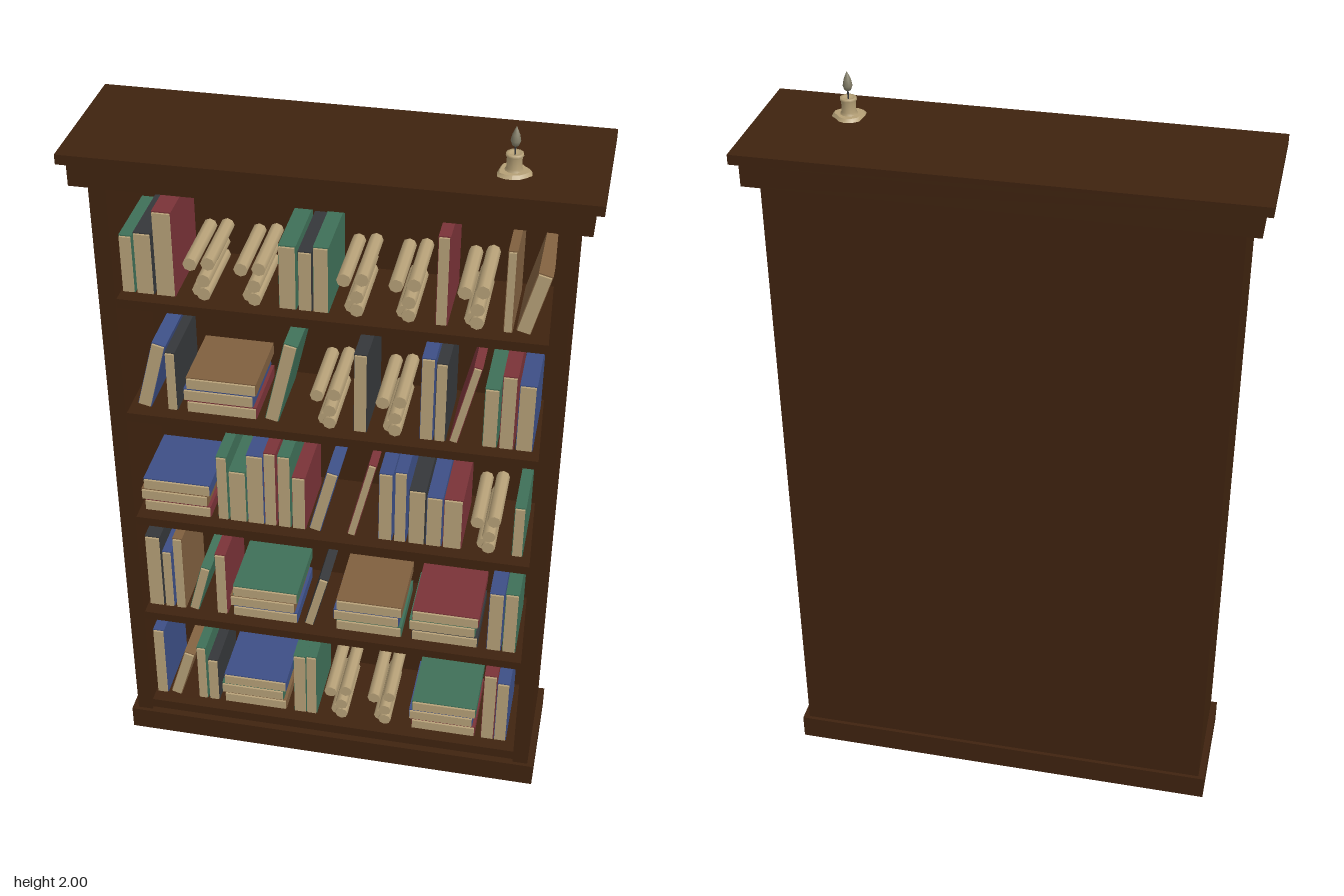
import * as THREE from 'three';

const mat = (name, color) => {
  const m = new THREE.MeshStandardMaterial({ color });
  m.name = name;
  return m;
};

export function createModel() {
  const root = new THREE.Group();
  root.name = 'bookcase';
  const wood = mat('dark wood', 0x3f230f);
  const paper = mat('paper', 0xb8a279);
  const red = mat('red cover', 0x7a3338);
  const blue = mat('blue cover', 0x3d4f86);
  const green = mat('green cover', 0x3f7058);
  const coal = mat('charcoal cover', 0x35373a);
  const tan = mat('tan cover', 0x80603f);
  const wax = mat('wax', 0xb5a076);
  const flameMat = mat('flame', 0x85806a);

  const add = (parent, name, geo, material, x = 0, y = 0, z = 0) => {
    const m = new THREE.Mesh(geo, material);
    m.name = name;
    m.position.set(x, y, z);
    parent.add(m);
    return m;
  };
  // wooden board between two heights
  const board = (name, w, y0, y1, d, x = 0, z = 0) =>
    add(root, name, new THREE.BoxGeometry(w, y1 - y0, d), wood, x, (y0 + y1) / 2, z);

  // case
  board('plinth', 1.18, 0, 0.07, 0.32);
  board('corniceLower', 1.22, 1.8, 1.86, 0.36);
  board('corniceTop', 1.262, 1.86, 1.885, 0.387);
  for (const s of [-1, 1]) board(s > 0 ? 'leftSide' : 'rightSide', 0.042, 0.07, 1.8, 0.3, s * 0.552);
  board('backPanel', 1.062, 0.07, 1.8, 0.02, 0, -0.14);
  const tops = [0.1, 0.445, 0.788, 1.132, 1.476];
  tops.forEach((y, i) => board('shelf', 1.062, i ? y - 0.025 : 0.07, y, 0.27, 0, 0.005));

  let shelfY = 0;
  const depth = 0.2, front = 0.1;
  // a cover with the page block showing at the front
  const bookAt = (w, h, cover) => {
    const g = new THREE.Group();
    g.name = 'book';
    add(g, 'cover', new THREE.BoxGeometry(w, h, depth), cover, 0, h / 2, front - depth / 2);
    add(g, 'pages', new THREE.BoxGeometry(w - 0.004, h - 0.006, 0.006), paper, 0, h / 2, front + 0.003);
    root.add(g);
    return g;
  };
  // sizes in hundredths: left edge, width, height, sideways lean of the top
  const book = (x, w, h, cover, lean = 0) => {
    const a = Math.atan2(lean, h);
    const g = bookAt(w / 100, h / 100, cover);
    g.rotation.z = -a;
    g.position.set((x + w / 2) / 100, shelfY + Math.sin(a) * w / 200, 0);
  };
  // three books lying flat, listed from the bottom
  const stack = (x, covers) => covers.forEach((c, i) => {
    const g = bookAt(0.183, 0.034, c);
    g.position.set(x / 100 + 0.004 * (i % 2 ? -1 : 1), shelfY + i * 0.0355, 0);
  });
  // loose pile of rolled scrolls
  const rollGeo = new THREE.CylinderGeometry(0.018, 0.018, 0.2, 8).rotateX(Math.PI / 2);
  const scrolls = (x) => {
    const g = new THREE.Group();
    g.name = 'scrolls';
    [[-0.02, 0.098], [0.022, 0.098], [0.012, 0.055], [-0.002, 0.022], [0.012, 0.018]].forEach(([dx, dy], i) =>
      add(g, 'scroll', rollGeo, paper, dx, dy, 0.005 - (i % 2) * 0.01));
    g.position.set(x / 100, shelfY, 0);
    root.add(g);
  };

  // bottom shelf
  shelfY = tops[0];
  book(-52.6, 3.2, 24.3, blue);
  book(-48.5, 3.2, 17, tan, 5);
  book(-40, 2.7, 19.6, green);
  book(-36.8, 3, 15.4, coal);
  stack(-23.3, [tan, green, blue]);
  book(-11.4, 3.6, 21.6, green);
  book(-7.7, 3, 22, green);
  scrolls(1.4);
  scrolls(14);
  stack(31.8, [red, blue, green]);
  book(43.1, 3.7, 24.3, red);
  book(46.9, 3.5, 22, blue);

  // second shelf
  shelfY = tops[1];
  book(-52.6, 4.2, 24.6, coal);
  book(-48, 2.6, 19.8, blue);
  book(-44.8, 2.7, 25, tan);
  book(-41, 2.7, 15.8, green, 4);
  book(-33, 3, 21.2, red);
  stack(-19.5, [blue, tan, green]);
  book(-8, 2.6, 17.4, coal, 4.5);
  stack(9.8, [green, blue, tan]);
  stack(31, [coal, green, red]);
  book(43, 4, 20.2, blue);
  book(47.3, 3.7, 20.7, green);

  // third shelf
  shelfY = tops[2];
  stack(-42.8, [red, tan, blue]);
  book(-31.2, 2.9, 20.7, green);
  book(-27.9, 4.6, 16.5, green);
  book(-23, 4.5, 22.4, blue);
  book(-18.3, 3.2, 23.8, red);
  book(-14.6, 3.4, 23.3, green);
  book(-10.8, 3.6, 17, red);
  book(-6.3, 3.2, 20, blue, 5);
  book(4, 2.2, 24.4, red, 5.8);
  book(12.4, 3.7, 21.8, blue);
  book(16.6, 3.2, 22.8, blue);
  book(20.4, 4.4, 17.5, coal);
  book(25.1, 4.2, 16, blue);
  book(29.6, 5, 16, red);
  scrolls(40.5);
  book(47.9, 2.9, 16, green);

  // fourth shelf
  shelfY = tops[3];
  book(-51.2, 3.6, 19.8, blue, 5);
  book(-43.1, 2.6, 17.5, coal);
  stack(-29.2, [red, blue, tan]);
  book(-17.5, 3.6, 24, green, 5.5);
  scrolls(-1.8);
  book(5.6, 3.4, 23.3, coal);
  scrolls(15);
  book(22.5, 3.4, 24.4, blue);
  book(26.2, 2.9, 23.3, coal);
  book(30, 2.2, 23.6, red, 5.5);
  book(38.4, 3.7, 17.5, green);
  book(42.6, 3.7, 21.7, red);
  book(46.8, 4.3, 19.6, blue);

  // top shelf
  shelfY = tops[4];
  book(-52.6, 3.2, 15.9, green);
  book(-48.9, 4.4, 17, coal);
  book(-43.9, 4.8, 23.3, red);
  scrolls(-33);
  scrolls(-20.3);
  book(-13, 4.3, 17.5, green);
  book(-8.2, 3.4, 16.4, coal);
  book(-4.5, 3.8, 18, green);
  scrolls(5);
  scrolls(17.7);
  book(25.4, 2.9, 24.3, red);
  scrolls(34.2);
  book(41.8, 2.2, 22.2, tan);
  book(44.8, 3.6, 16.8, tan, 4.4);

  // candle standing in a pool of wax
  const candle = new THREE.Group();
  candle.name = 'candle';
  candle.position.set(0.415, 1.885, 0.072);
  root.add(candle);
  const pool = new THREE.CylinderGeometry(0.034, 0.04, 0.008, 14);
  const p = pool.attributes.position;
  for (let i = 0; i < p.count; i++) {
    const a = Math.atan2(p.getZ(i), p.getX(i));
    const k = 1 + 0.09 * Math.sin(3 * a + 1) + 0.05 * Math.cos(5 * a);
    p.setX(i, p.getX(i) * k);
    p.setZ(i, p.getZ(i) * k);
  }
  pool.computeVertexNormals();
  add(candle, 'waxPool', pool, wax, 0, 0.004);
  const lathe = (pts) => new THREE.LatheGeometry(pts.map(([r, y]) => new THREE.Vector2(r, y)), 12);
  add(candle, 'candleBody', lathe([[0.023, 0.006], [0.018, 0.014], [0.018, 0.04], [0.021, 0.043],
    [0.02, 0.049], [0.013, 0.049], [0.011, 0.045], [0, 0.045]]), wax);
  add(candle, 'wick', new THREE.CylinderGeometry(0.002, 0.002, 0.025, 6), coal, 0, 0.057);
  add(candle, 'flame', lathe([[0, 0.063], [0.008, 0.068], [0.012, 0.079], [0.009, 0.094],
    [0.004, 0.106], [0, 0.115]]), flameMat);

  return root;
}
